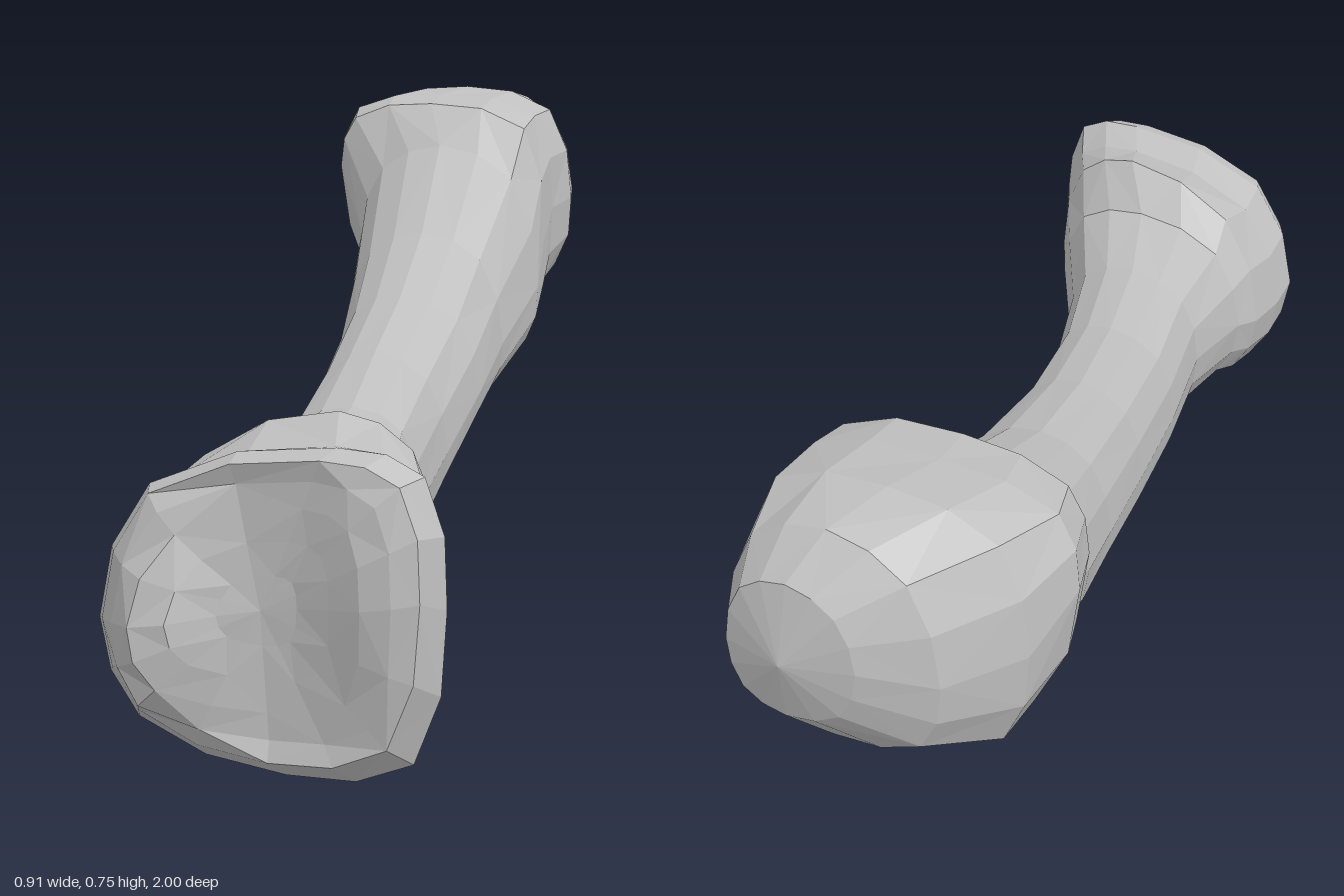
import * as THREE from 'three';

const SIDES = 16;

// Cross-sections from the back end to the front: z, xMin, xMax, yMin, yMax, then how
// full the corners are (upper left, upper right, lower right, lower left as seen from the front)
const SECTIONS = [
  [-0.975, -0.29, -0.10, 0.49, 0.69, 0.72, 0.72, 0.78, 0.72],
  [-0.92, -0.375, -0.065, 0.435, 0.745, 0.72, 0.72, 0.82, 0.80],
  [-0.82, -0.44, -0.03, 0.40, 0.757, 0.80, 0.78, 0.85, 0.82],
  [-0.72, -0.455, -0.03, 0.365, 0.745, 0.86, 0.83, 0.86, 0.70],
  [-0.64, -0.425, -0.015, 0.33, 0.735, 0.85, 0.80, 0.90, 0.65],
  [-0.57, -0.35, 0.0, 0.30, 0.665, 0.75, 0.70, 0.88, 0.70],
  [-0.38, -0.285, 0.01, 0.245, 0.53, 0.72, 0.70, 0.85, 0.74],
  [-0.18, -0.215, 0.05, 0.208, 0.45, 0.72, 0.68, 0.82, 0.80],
  [0.06, -0.145, 0.095, 0.145, 0.395, 0.72, 0.70, 0.80, 0.78],
  [0.3, -0.08, 0.155, 0.11, 0.357, 0.72, 0.75, 0.80, 0.78],
  [0.5, -0.025, 0.235, 0.085, 0.36, 0.74, 0.75, 0.78, 0.76],
  [0.68, -0.02, 0.345, 0.055, 0.375, 0.72, 0.78, 0.78, 0.78],
  [0.74, -0.03, 0.38, 0.025, 0.445, 0.65, 0.80, 0.78, 0.78],
  [0.83, -0.03, 0.425, 0.005, 0.42, 0.68, 0.85, 0.80, 0.77],
  [0.9, -0.025, 0.455, 0.015, 0.435, 0.68, 0.88, 0.82, 0.77],
  [0.935, 0.0, 0.435, 0.04, 0.425, 0.68, 0.88, 0.80, 0.77],
];
const CAP_SCALES = [0.86, 0.68, 0.46, 0.23];

// Front end: a long inner knuckle and a shorter outer one with a hollow between
function knuckles(x, y) {
  const hill = (cx, cy, w, h) => Math.exp(-(((x - cx) / w) ** 2) - ((y - cy) / h) ** 2);
  return 0.925 + 0.075 * hill(0.09, 0.19, 0.075, 0.15) + 0.033 * hill(0.375, 0.28, 0.07, 0.16);
}

// Closed outline through the four sides and four corners; each side's
// widest point slides towards its fuller corner
function outline([z, x0, x1, y0, y1, ul, ur, lr, ll]) {
  const cx = (x0 + x1) / 2, cy = (y0 + y1) / 2, rx = (x1 - x0) / 2, ry = (y1 - y0) / 2;
  const corners = [
    [1, 2 * (ur - lr)], [ur, ur], [2 * (ur - ul), 1], [-ul, ul],
    [-1, 2 * (ul - ll)], [-ll, -ll], [2 * (lr - ll), -1], [lr, -lr],
  ];
  const points = corners.map(([u, v]) => new THREE.Vector3(cx + u * rx, cy + v * ry, z));
  const curve = new THREE.CatmullRomCurve3(points, true);
  return Array.from({ length: SIDES }, (_, j) => curve.getPoint(j / SIDES));
}

function boneGeometry() {
  const rings = SECTIONS.map(outline);

  // Smaller rings close the front end
  const rim = rings[rings.length - 1];
  const middle = new THREE.Vector3(0.22, 0.23, 0);
  const onCap = (p) => p.setZ(knuckles(p.x, p.y));
  CAP_SCALES.forEach((scale) => {
    rings.push(rim.map((p) => onCap(middle.clone().lerp(p, scale))));
  });
  const points = rings.flat();
  const back = points.length, front = back + 1;
  points.push(new THREE.Vector3(-0.195, 0.585, -1.0), onCap(middle));

  const index = [];
  const lastRing = (rings.length - 1) * SIDES;
  for (let j = 0; j < SIDES; j++) {
    const n = (j + 1) % SIDES;
    for (let i = 0; i < rings.length - 1; i++) {
      const a = i * SIDES + j, b = i * SIDES + n, c = a + SIDES, d = b + SIDES;
      if ((i + j) % 2) index.push(a, b, d, a, d, c);
      else index.push(a, b, c, b, d, c);
    }
    index.push(back, n, j, front, lastRing + j, lastRing + n);
  }
  const indexed = new THREE.BufferGeometry().setFromPoints(points);
  indexed.setIndex(index);
  const flat = indexed.toNonIndexed();
  flat.computeVertexNormals();
  return flat;
}

export function createModel() {
  const group = new THREE.Group();
  group.name = 'bone';
  const grey = new THREE.MeshStandardMaterial({ color: 0xc0c0c0, flatShading: true });
  grey.name = 'bone grey';
  const bone = new THREE.Mesh(boneGeometry(), grey);
  bone.name = 'boneShaftAndEnds';
  group.add(bone);
  return group;
}
